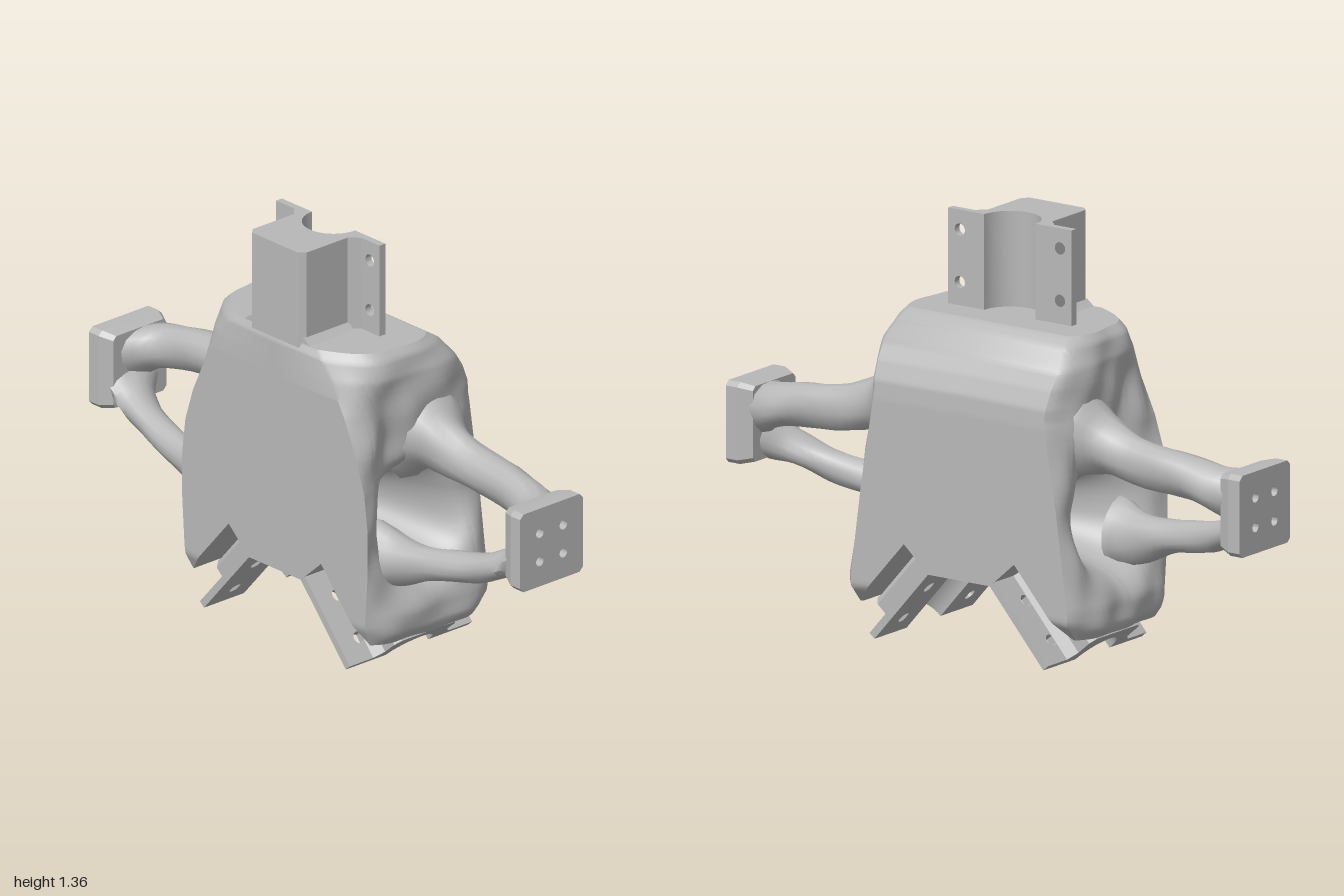
import * as THREE from 'three';
import { toCreasedNormals } from 'three/addons/utils/BufferGeometryUtils.js';

const metal = new THREE.MeshStandardMaterial({ color: 0xb8b8b8 });
metal.name = 'plain grey metal';

function part(name, geo, crease = 0.6) {
  const mesh = new THREE.Mesh(toCreasedNormals(geo, crease), metal);
  mesh.name = name;
  return mesh;
}

// Piecewise linear lookup in [[key, value], ...]
function lookup(table, k) {
  if (k <= table[0][0]) return table[0][1];
  for (let i = 1; i < table.length; i++) {
    const [k0, v0] = table[i - 1], [k1, v1] = table[i];
    if (k <= k1) return v0 + (v1 - v0) * (k - k0) / (k1 - k0);
  }
  return table[table.length - 1][1];
}

// Skin closed rings of [x, y, z]; side -1 mirrors in x. Cells on the x = 0 plane are dropped.
function loft(rings, side) {
  const pos = [], idx = [], n = rings[0].length;
  rings.forEach(r => r.forEach(p => pos.push(side * p[0], p[1], p[2])));
  for (let i = 0; i + 1 < rings.length; i++) for (let j = 0; j < n; j++) {
    const k = (j + 1) % n;
    const a = i * n + j, b = i * n + k, c = b + n, d = a + n;
    if ([a, b, c, d].every(v => Math.abs(pos[v * 3]) < 1e-6)) continue;
    if (side > 0) idx.push(a, b, c, a, c, d);
    else idx.push(a, c, b, a, d, c);
  }
  const g = new THREE.BufferGeometry();
  g.setAttribute('position', new THREE.Float32BufferAttribute(pos, 3));
  g.setIndex(idx);
  return g;
}

// Body widths by height: front face, middle and back face, plus front and back depth
const FRONT = [[0.1, 0.41], [0.2, 0.42], [0.35, 0.43], [0.5, 0.43], [0.62, 0.415], [0.73, 0.38], [0.86, 0.32], [0.96, 0.26], [1.02, 0.21], [1.045, 0.18]];
const MIDDLE = [[0.1, 0.45], [0.13, 0.47], [0.2, 0.47], [0.35, 0.44], [0.5, 0.41], [0.8, 0.39], [0.96, 0.385], [1.02, 0.365], [1.045, 0.34]];
const BACK = [[0.1, 0.42], [0.2, 0.42], [0.5, 0.38], [0.8, 0.33], [0.95, 0.34], [1.045, 0.31]];
const ZFRONT = [[0.1, 0.23], [0.16, 0.26], [1.02, 0.26], [1.045, 0.25]];
const ZBACK = [[0.1, -0.21], [0.16, -0.26], [0.78, -0.26], [0.84, -0.255], [0.9, -0.23], [0.96, -0.19], [1.02, -0.14], [1.045, -0.1]];

function bodyWidth(y, z, zf, zb) {
  const s = z > 0 ? z / zf : z / zb;
  const m = lookup(MIDDLE, y);
  let x = z > 0 ? m + (lookup(FRONT, y) - m) * s ** 4 : m + (lookup(BACK, y) - m) * s ** 5;
  const edge = 1 - s ** 8;
  // Deep side pocket that meets its twin as a tunnel, and a shallow groove above it
  const dy = (y - 0.42) / (y < 0.42 ? 0.1 : 0.15);
  x -= 0.56 * edge * Math.exp(-((z / 0.11) ** 2) - dy ** 2);
  x -= 0.05 * edge * Math.exp(-(((z - 0.11) / 0.06) ** 2) - ((y - 0.7) / 0.2) ** 2);
  // Slightly uneven cast surface
  x += 0.004 * edge * (Math.sin(y * 31 + z * 17) + Math.sin(y * 19 - z * 37));
  return x;
}

function bodyRing(y, inner, closed = false) {
  const N = 60, zf = lookup(ZFRONT, y), zb = lookup(ZBACK, y);
  const ring = [[inner, y, zf]];
  for (let k = 0; k <= N; k++) {
    const z = zf + (zb - zf) * k / N;
    ring.push([closed ? inner : Math.max(inner, bodyWidth(y, z, zf, zb)), y, z]);
  }
  ring.push([inner, y, zb]);
  return ring;
}

function bodyHalf(side) {
  const notch = y => 0.214 + (0.325 - y) * 0.869;
  const rings = [bodyRing(0.1, notch(0.1), true)];
  for (let i = 0; i <= 16; i++) {
    const y = 0.1 + 0.225 * i / 16;
    rings.push(bodyRing(y, notch(y)));
  }
  for (let i = 0; i <= 80; i++) rings.push(bodyRing(0.325 + 0.72 * i / 80, 0));
  rings.push(bodyRing(1.045, 0, true));
  return loft(rings, side);
}

// Organic strut through stations of [x, y, z, half height, half depth]
function strut(stations, side) {
  const at = i => new THREE.CatmullRomCurve3(stations.map(s => new THREE.Vector3(...i.map(k => s[k]))));
  const centre = at([0, 1, 2]), size = at([3, 4, 4]);
  const rings = [], N = 22, M = 14;
  for (let i = 0; i <= N; i++) {
    const c = centre.getPoint(i / N), r = size.getPoint(i / N);
    const ring = [];
    for (let j = 0; j < M; j++) {
      const a = j / M * Math.PI * 2;
      const k = 1.02 + 0.05 * Math.sin(i * 0.8 + a * 3);
      ring.push([c.x, c.y + Math.cos(a) * r.x * k, c.z + Math.sin(a) * r.y * k]);
    }
    rings.push(ring);
  }
  const last = centre.getPoint(1);
  rings.push(rings[N].map(() => [last.x, last.y, last.z]));
  return loft(rings, side);
}

function drill(shape, x, y, r) {
  const hole = new THREE.Path();
  hole.absarc(x, y, r, 0, Math.PI * 2, true);
  shape.holes.push(hole);
}

function polygon(points) {
  return new THREE.Shape(points.map(p => new THREE.Vector2(...p)));
}

function extrude(shape, depth, steps = 1) {
  return new THREE.ExtrudeGeometry(shape, { depth, steps, bevelEnabled: false, curveSegments: 10 });
}

// Half-round tube clamp: x across, y along the tube, z away from the open face
function clamp(name, { half, house, depth, radius, thick, length, holeX, holeY }) {
  const group = new THREE.Group();
  group.name = name;
  const pts = [[-house - 0.03, 0]];
  for (let i = 0; i <= 20; i++) {
    const a = Math.PI * (1 - i / 20);
    pts.push([Math.cos(a) * radius, Math.sin(a) * radius]);
  }
  const flank = [[house + 0.03, 0], [house + 0.03, thick], [house, thick + 0.03], [house, depth - 0.02], [house - 0.02, depth]];
  pts.push(...flank, ...flank.slice(1).reverse().map(([x, v]) => [-x, v]));
  const housing = extrude(polygon(pts.map(([x, v]) => [x, -v])), length);
  group.add(part('clampHousing', housing.rotateX(-Math.PI / 2)));
  for (const s of [-1, 1]) {
    const a = s * (house + 0.02), b = s * half;
    const wing = polygon([[a, 0], [b, 0], [b, length], [a, length]]);
    for (const y of holeY) drill(wing, s * holeX, y, 0.02);
    group.add(part('clampWing', extrude(wing, thick)));
  }
  return group;
}

export function createModel() {
  const model = new THREE.Group();
  model.name = 'clampFrame';

  // Upright tube clamp on top, with a flared collar at its foot
  const neck = clamp('neckClamp', { half: 0.24, house: 0.125, depth: 0.25, radius: 0.1, thick: 0.025, length: 0.325, holeX: 0.195, holeY: [0.09, 0.26] });
  neck.position.set(0, 1.03, 0.01);
  model.add(neck);
  for (const s of [-1, 1]) {
    const foot = polygon([[s * 0.1, 1.02], [s * 0.19, 1.02], [s * 0.15, 1.045], [s * 0.125, 1.065], [s * 0.1, 1.065]]);
    model.add(part('neckCollar', extrude(foot, 0.19).translate(0, 0, 0.06)));
  }

  // Bridge between the two lower clamps, with a round opening in the middle
  const wedge = polygon([[-0.12, 0.24], [0.12, 0.24], [0.216, 0.326], [-0.216, 0.326]]);
  for (const z of [0.07, -0.26]) model.add(part('lowerBridge', extrude(wedge, 0.19).translate(0, 0, z)));
  const floor = polygon([[-0.12, -0.07], [0.12, -0.07], [0.12, 0.07], [-0.12, 0.07]]);
  drill(floor, 0, 0, 0.06);
  model.add(part('bridgeFloor', extrude(floor, 0.085).rotateX(-Math.PI / 2).translate(0, 0.24, 0)));

  const upper = [[0.28, 0.74, -0.09, 0.19, 0.16], [0.37, 0.735, -0.08, 0.13, 0.12], [0.44, 0.71, -0.07, 0.092, 0.08],
    [0.56, 0.675, -0.07, 0.074, 0.06], [0.75, 0.655, -0.07, 0.07, 0.06], [0.86, 0.63, -0.055, 0.072, 0.075], [0.925, 0.61, -0.01, 0.085, 0.105]];
  const lower = [[0.33, 0.36, 0.14, 0.12, 0.09], [0.44, 0.365, 0.125, 0.08, 0.065], [0.58, 0.395, 0.105, 0.052, 0.05],
    [0.75, 0.43, 0.08, 0.05, 0.05], [0.86, 0.475, 0.05, 0.05, 0.07], [0.925, 0.51, 0.01, 0.065, 0.105]];

  for (const side of [1, -1]) {
    const label = side > 0 ? 'left' : 'right';
    model.add(part(label + 'Body', bodyHalf(side)));
    model.add(part(label + 'UpperArm', strut(upper, side), 0.9));
    model.add(part(label + 'LowerArm', strut(lower, side), 0.9));

    // Drilled end plate with cut corners, tapering on its inner side
    const c = 0.015, hz = 0.134, hy = 0.133;
    const plate = polygon([[-hz + c, -hy], [hz - c, -hy], [hz, -hy + c], [hz, hy - c],
      [hz - c, hy], [-hz + c, hy], [-hz, hy - c], [-hz, -hy + c]]);
    for (const u of [-0.05, 0.05]) for (const v of [-0.048, 0.048]) drill(plate, u, v, 0.016);
    const block = extrude(plate, 0.09, 2), p = block.attributes.position;
    for (let i = 0; i < p.count; i++) {
      if (p.getZ(i) < 0.001) p.setXY(i, p.getX(i) * 0.84, p.getY(i) * 0.92);
    }
    const mount = part(label + 'EndPlate', block, 0.4);
    mount.rotation.y = side * Math.PI / 2;
    mount.position.set(side * 0.91, 0.572, 0);
    model.add(mount);

    // Splayed tube clamp below
    const leg = clamp(label + 'LegClamp', { half: 0.26, house: 0.13, depth: 0.13, radius: 0.09, thick: 0.025, length: 0.318, holeX: 0.175, holeY: [0.09, 0.24] });
    const along = new THREE.Vector3(side * 0.656, -0.755, 0).normalize();
    const out = new THREE.Vector3(side * 0.755, 0.656, 0).normalize();
    const across = new THREE.Vector3(0, 0, side);
    leg.quaternion.setFromRotationMatrix(new THREE.Matrix4().makeBasis(across, along, out));
    leg.position.set(side * 0.12, 0.24, 0);
    model.add(leg);
  }
  return model;
}
